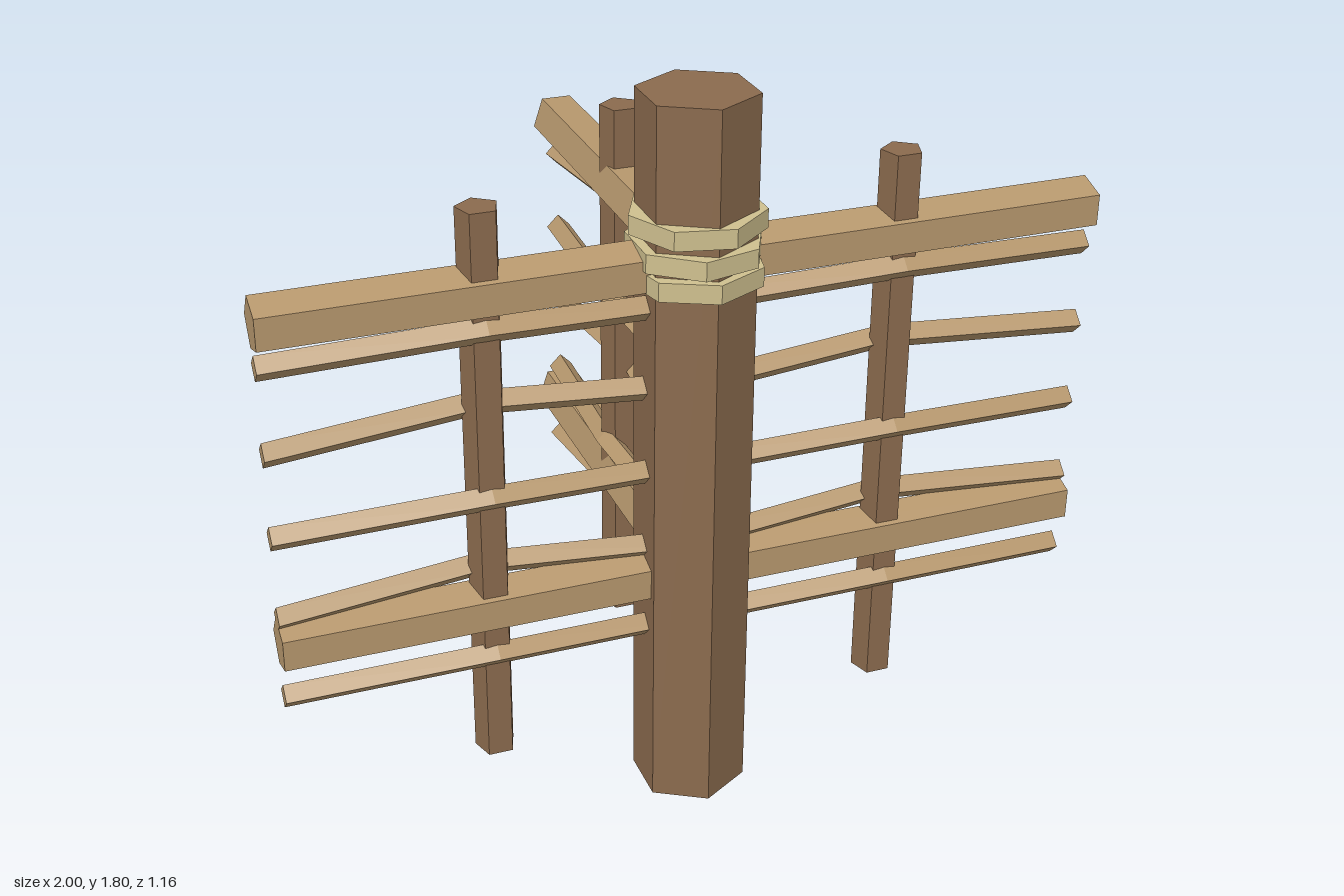
import * as THREE from 'three';

const material = (name, color) =>
  new THREE.MeshStandardMaterial({ name, color, flatShading: true });

export function createModel() {
  const darkWood = material('dark wood', 0x8b6b4e);
  const paleWood = material('pale wood', 0xb6976d);
  const ropeColor = material('rope', 0xcfc08f);

  const POST_Z = 0.42;
  const model = new THREE.Group();
  model.name = 'cornerFence';

  const add = (parent, name, geometry, mat, x = 0, y = 0, z = 0) => {
    const mesh = new THREE.Mesh(geometry, mat);
    mesh.name = name;
    mesh.position.set(x, y, z);
    parent.add(mesh);
    return mesh;
  };

  // A faceted log lying along x
  const log = (radius, length, sides, start, rows = 1) =>
    new THREE.CylinderGeometry(radius, radius, length, sides, rows, false, start)
      .rotateZ(-Math.PI / 2);

  // A diamond-section branch whose middle is pushed up and sideways
  const bentBranch = (dy, dz) => {
    const geometry = log(0.031, 1, 4, 0, 2);
    const p = geometry.attributes.position;
    for (let i = 0; i < p.count; i++) {
      if (Math.abs(p.getX(i)) < 0.1) {
        p.setY(i, p.getY(i) + dy);
        p.setZ(i, p.getZ(i) + dz);
      }
    }
    geometry.computeVertexNormals();
    return geometry;
  };

  // Corner post
  add(model, 'cornerPost', new THREE.CylinderGeometry(0.14, 0.14, 1.8, 6), darkWood, 0, 0.9, POST_Z);

  // Rope lashing: three offset bands around the post
  const bands = [[1.382, 0], [1.44, Math.PI / 2], [1.508, -Math.PI / 2]];
  for (const [y, turn] of bands) {
    add(model, 'ropeBand',
      new THREE.CylinderGeometry(0.16, 0.16, 0.046, 7, 1, false, turn), ropeColor, 0, y, POST_Z);
  }

  // Three fence arms: left, right and back
  const arms = [
    { name: 'leftArm', dir: 1, turn: 0, railStart: Math.PI },
    { name: 'rightArm', dir: -1, turn: 0, railStart: Math.PI },
    { name: 'backArm', dir: 1, turn: Math.PI / 2, railStart: Math.PI / 2 },
  ];
  for (const { name, dir, turn, railStart } of arms) {
    const arm = new THREE.Group();
    arm.name = name;
    arm.position.z = POST_Z;
    arm.rotation.y = turn;
    model.add(arm);

    // Upright stake, always with its point towards the back
    const stake = add(arm, 'stake',
      new THREE.CylinderGeometry(0.05, 0.05, 1.4, 5, 1, false, Math.PI), darkWood, dir * 0.5, 0.9, 0);
    stake.rotation.y = -turn;

    // Heavy rails
    for (const y of [0.6, 1.4]) {
      add(arm, 'rail', log(0.065, 1, 5, railStart), paleWood, dir * 0.5, y, 0);
    }

    // Thin branches woven alternately around the stake
    for (let i = 0; i < 5; i++) {
      const side = i % 2 === 0 ? 1 : -1;
      add(arm, 'branch', bentBranch(0.025, side * 0.035), paleWood, dir * 0.5, 0.459 + i * 0.21, 0);
    }
  }

  return model;
}
